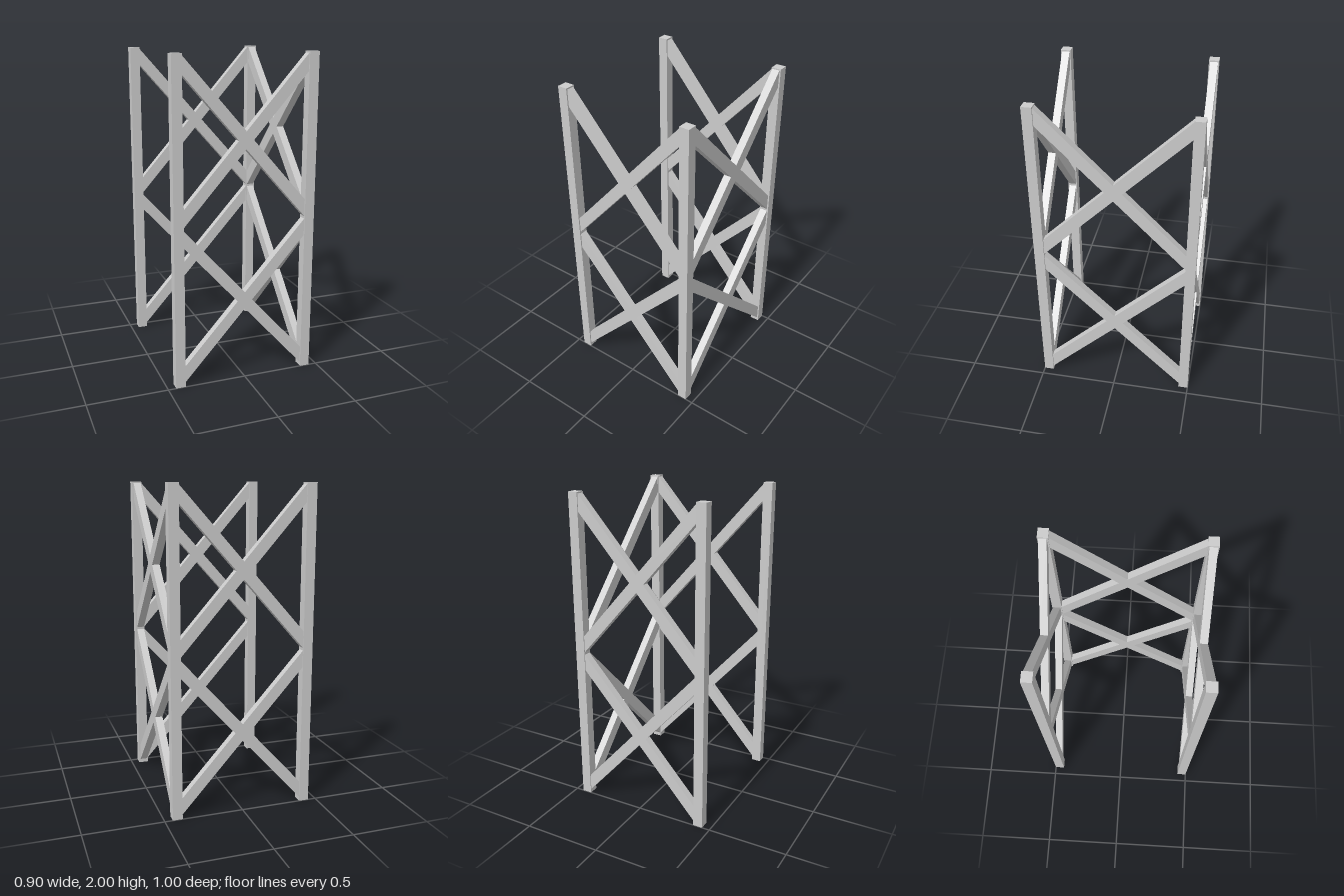
import * as THREE from 'three';

const HEIGHT = 2, POST = 0.062, DEPTH = 0.048;
const POST_X = 0.419, POST_Z = 0.469;

// X-shaped brace as one solid: span and rise are half sizes, t is half the bar's vertical thickness
function crossGeometry(span, rise, t) {
  const notch = t * span / rise;
  const shape = new THREE.Shape([
    [0, t], [-span, rise + t], [-span, rise - t], [-notch, 0],
    [-span, t - rise], [-span, -rise - t], [0, -t],
    [span, -rise - t], [span, t - rise], [notch, 0],
    [span, rise - t], [span, rise + t],
  ].map(([x, y]) => new THREE.Vector2(x, y)));
  const geometry = new THREE.ExtrudeGeometry(shape, { depth: DEPTH, bevelEnabled: false });
  return geometry.translate(0, 0, -DEPTH / 2);
}

export function createModel() {
  const model = new THREE.Group();
  model.name = 'bracedTower';
  const material = new THREE.MeshStandardMaterial({ color: 0xcccccc, flatShading: true });

  // Four corner posts
  const postGeometry = new THREE.BoxGeometry(POST, HEIGHT, POST);
  for (const [name, sx, sz] of [
    ['frontLeftPost', 1, 1], ['frontRightPost', -1, 1],
    ['backLeftPost', 1, -1], ['backRightPost', -1, -1],
  ]) {
    const post = new THREE.Mesh(postGeometry, material);
    post.name = name;
    post.position.set(sx * POST_X, HEIGHT / 2, sz * POST_Z);
    model.add(post);
  }

  // Two stacked cross braces on the front, back and left; the right side stays open
  const tiers = [{ name: 'lower', y: 0.509, rise: 0.437 }, { name: 'upper', y: 1.5, rise: 0.445 }];
  const sides = [
    { name: 'FrontBrace', span: 0.394, x: 0, z: 0.468, turn: 0 },
    { name: 'BackBrace', span: 0.394, x: 0, z: -0.47, turn: Math.PI },
    { name: 'LeftBrace', span: 0.444, x: 0.417, z: 0, turn: Math.PI / 2 },
  ];
  for (const tier of tiers) {
    for (const side of sides) {
      const brace = new THREE.Mesh(crossGeometry(side.span, tier.rise, 0.053), material);
      brace.name = tier.name + side.name;
      brace.position.set(side.x, tier.y, side.z);
      brace.rotation.y = side.turn;
      model.add(brace);
    }
  }
  return model;
}
